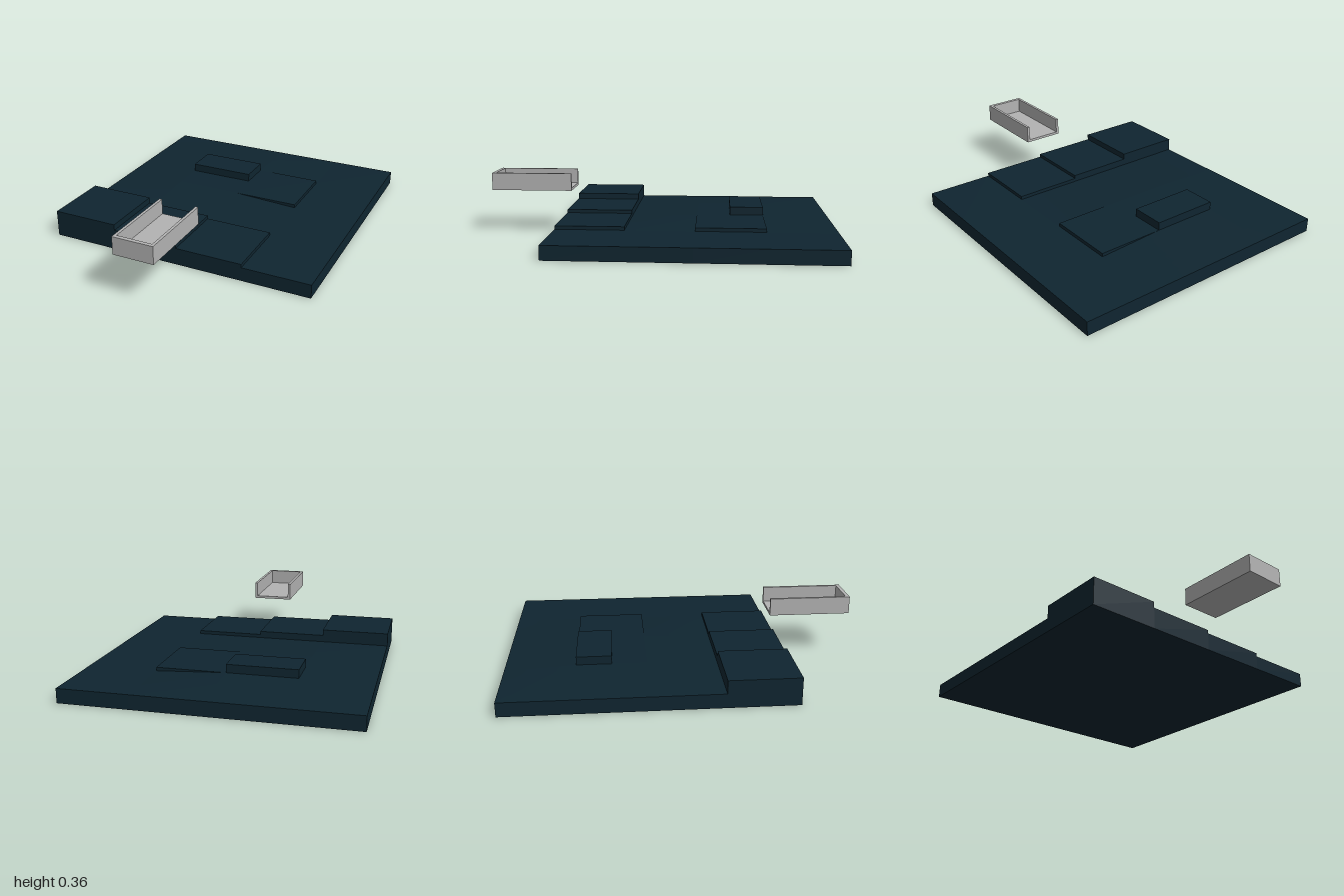
import * as THREE from 'three';

const CELL = 0.3935;
const X0 = -2 * CELL, Z0 = -1;
const LOW = 0.08, HIGH = 0.1;

// Box standing on y = 0 whose top follows four corner heights:
// back-right (-x -z), back-left (+x -z), front-right (-x +z), front-left (+x +z)
function tileGeometry(corners) {
  const [a, b, c, d] = corners;
  const flat = corners.every((h) => h === a);
  const n = flat ? 1 : 6;
  const geo = new THREE.BoxGeometry(CELL, 1, CELL, n, 1, n);
  const p = geo.attributes.position;
  for (let i = 0; i < p.count; i++) {
    const u = p.getX(i) / CELL + 0.5, v = p.getZ(i) / CELL + 0.5;
    const top = (a * (1 - u) + b * u) * (1 - v) + (c * (1 - u) + d * u) * v;
    p.setY(i, p.getY(i) > 0 ? top : 0);
  }
  geo.computeVertexNormals();
  return geo;
}

export function createModel() {
  const model = new THREE.Group();
  model.name = 'terrainBoardWithTray';

  const boardMat = new THREE.MeshStandardMaterial({ color: 0x0f2530 });
  boardMat.name = 'dark teal';
  const trayMat = new THREE.MeshStandardMaterial({ color: 0xb3b3b3 });
  trayMat.name = 'light grey';

  const add = (parent, geo, mat, name, x, y, z) => {
    const mesh = new THREE.Mesh(geo, mat);
    mesh.name = name;
    mesh.position.set(x, y, z);
    parent.add(mesh);
    return mesh;
  };

  // Board tiles, rows from back to front, columns from -x to +x
  const L = LOW, H = HIGH;
  const level = (h) => [h, h, h, h];
  const rows = [
    [[L, L, L, H], [L, L, H, H], [L, L, H, L], level(L)],
    [[L, H, L, H], level(H), level(H), level(L)],
    [[L, H, L, L], [H, H, L, L], [H, L, L, L], level(L)],
    [level(0.155), level(0.12), level(0.1), level(L)],
  ];
  const board = new THREE.Group();
  board.name = 'board';
  rows.forEach((row, r) => row.forEach((corners, c) => {
    add(board, tileGeometry(corners), boardMat, `tile_${r}_${c}`,
      X0 + (c + 0.5) * CELL, 0, Z0 + (r + 0.5) * CELL);
  }));

  // Half-width block standing on the plateau
  const blockH = 0.147 - HIGH;
  add(board, new THREE.BoxGeometry(CELL, blockH, CELL / 2), boardMat, 'halfBlock',
    -CELL / 2, HIGH + blockH / 2, Z0 + 1.25 * CELL);
  model.add(board);

  // Floating tray: floor, two sides and a front wall, open at the back
  const tray = new THREE.Group();
  tray.name = 'tray';
  const w = 0.236, h = 0.102, back = 0.526, front = 1, wall = 0.016, frontWall = 0.022, y = 0.254;
  const len = front - back;
  add(tray, new THREE.BoxGeometry(w - 2 * wall, 0.015, len - frontWall), trayMat, 'trayFloor',
    0, y + 0.0075, back + (len - frontWall) / 2);
  for (const s of [-1, 1]) {
    add(tray, new THREE.BoxGeometry(wall, h, len), trayMat, s > 0 ? 'traySideLeft' : 'traySideRight',
      s * (w - wall) / 2, y + h / 2, (back + front) / 2);
  }
  add(tray, new THREE.BoxGeometry(w - 2 * wall, h, frontWall), trayMat, 'trayFront',
    0, y + h / 2, front - frontWall / 2);
  model.add(tray);

  return model;
}
